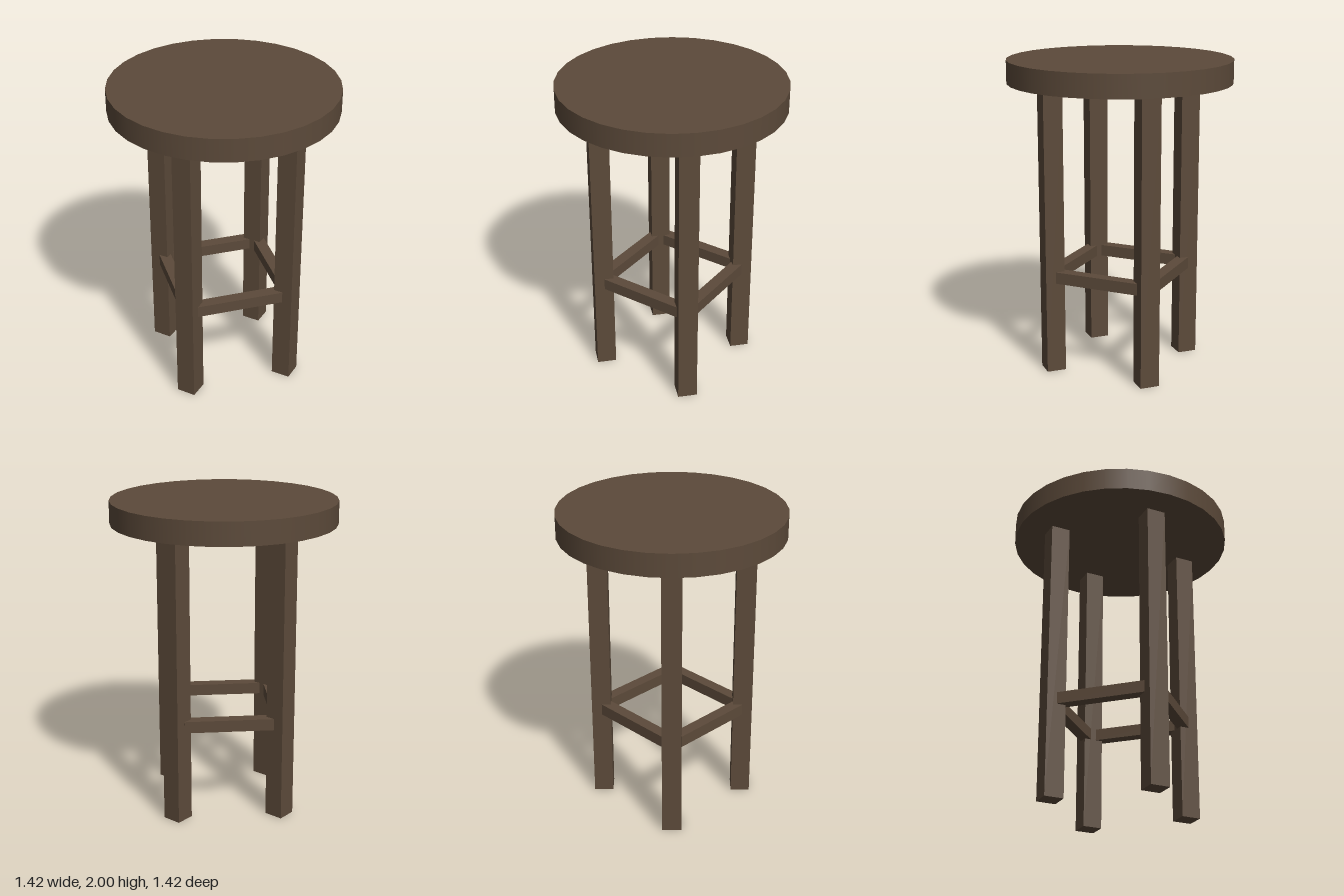
import * as THREE from 'three';

export function createModel() {
  const stool = new THREE.Group();
  stool.name = 'stool';
  const wood = new THREE.MeshStandardMaterial({ color: 0x5c4a3a });
  wood.name = 'dark wood';

  const add = (name, geometry, x, y, z, turn = 0) => {
    const mesh = new THREE.Mesh(geometry, wood);
    mesh.name = name;
    mesh.position.set(x, y, z);
    mesh.rotation.y = turn;
    stool.add(mesh);
  };

  // Round seat, floating just above the legs
  add('seat', new THREE.CylinderGeometry(0.71, 0.71, 0.145, 32), 0, 1.9275, 0);

  // Square legs, each turned corner-forward
  const legGeometry = new THREE.BoxGeometry(0.124, 1.845, 0.124);
  const legOffset = 0.327;
  for (const [side, sx] of [['Left', 1], ['Right', -1]]) {
    for (const [end, sz] of [['front', 1], ['back', -1]]) {
      add(`${end}${side}Leg`, legGeometry, sx * legOffset, 0.9225, sz * legOffset, Math.PI / 4);
    }
  }

  // Four footrest rungs between neighbouring legs
  const rungGeometry = new THREE.BoxGeometry(0.56, 0.075, 0.075);
  const rungOffset = 0.333;
  ['front', 'left', 'back', 'right'].forEach((place, i) => {
    const turn = (i * Math.PI) / 2;
    add(`${place}Rung`, rungGeometry, Math.sin(turn) * rungOffset, 0.6325, Math.cos(turn) * rungOffset, turn);
  });

  return stool;
}
